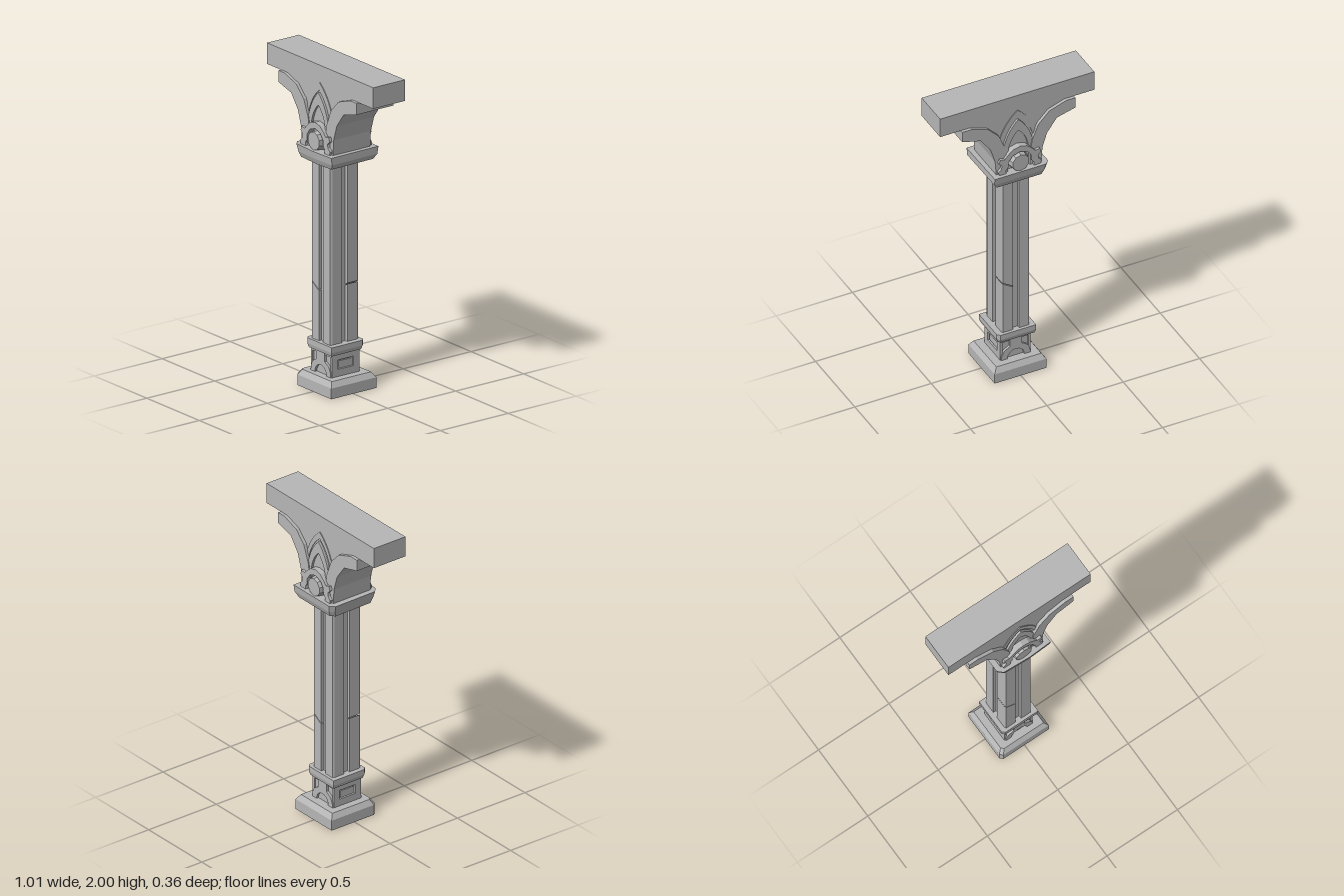
import * as THREE from 'three';

const stone = new THREE.MeshStandardMaterial({ color: 0xb6b6b6, flatShading: true });
stone.name = 'stone';

// Solid through stacked rings of [x, y, z], listed front-left, front-right, back-right, back-left
function loft(rings) {
  const out = [];
  const n = rings[0].length;
  for (let r = 0; r < rings.length - 1; r++) {
    const a = rings[r], b = rings[r + 1];
    for (let i = 0; i < n; i++) {
      const j = (i + 1) % n;
      out.push(...a[i], ...a[j], ...b[j], ...a[i], ...b[j], ...b[i]);
    }
  }
  const lo = rings[0], hi = rings[rings.length - 1];
  for (let i = 1; i < n - 1; i++) {
    out.push(...lo[0], ...lo[i + 1], ...lo[i], ...hi[0], ...hi[i], ...hi[i + 1]);
  }
  const g = new THREE.BufferGeometry();
  g.setAttribute('position', new THREE.Float32BufferAttribute(out, 3));
  g.computeVertexNormals();
  return g;
}

const ring = (y, pts) => pts.map(([x, z]) => [x, y, z]);
const shapeOf = (pts) => new THREE.Shape(pts.map(([x, y]) => new THREE.Vector2(x, y)));
// Close a right-hand outline (listed from the bottom up) with its mirror image
const mirrored = (pts) => shapeOf([...pts, ...pts.map(([x, y]) => [-x, y]).reverse()]);

function slab(shape, z0, z1) {
  const g = new THREE.ExtrudeGeometry(shape, { depth: z1 - z0, bevelEnabled: false, curveSegments: 8 });
  return g.translate(0, 0, z0);
}

export function createModel() {
  const model = new THREE.Group();
  model.name = 'column';

  function add(name, geometry, parent = model) {
    const mesh = new THREE.Mesh(geometry, stone);
    mesh.name = name;
    parent.add(mesh);
    return mesh;
  }
  // Same raised ornament on the front and back faces
  function relief(name, shape, z0, z1, parent) {
    add(name + 'Front', slab(shape, z0, z1), parent);
    add(name + 'Back', slab(shape, -z1, -z0), parent);
  }

  // Base with sloped top and a chipped front-left corner
  const plinth = [[-0.167, 0.145], [-0.15, 0.162], [0.172, 0.162], [0.172, -0.17], [-0.167, -0.17]];
  const plinthTop = plinth.map(([x, z]) => [x * 0.87, z * 0.87]);
  add('base', loft([ring(0, plinth), ring(0.065, plinth), ring(0.098, plinthTop)]));

  // Pedestal block with raised ornament
  const pedestal = new THREE.Group();
  pedestal.name = 'pedestal';
  model.add(pedestal);
  add('pedestalCore', new THREE.BoxGeometry(0.176, 0.16, 0.184).translate(0, 0.17, 0), pedestal);
  const stemArch = new THREE.Shape();
  stemArch.moveTo(0.055, 0.095).lineTo(0.095, 0.095).lineTo(0.093, 0.125).lineTo(0.078, 0.158)
    .lineTo(0.038, 0.183).lineTo(0.038, 0.24).lineTo(-0.038, 0.24).lineTo(-0.038, 0.183)
    .lineTo(-0.078, 0.158).lineTo(-0.093, 0.125).lineTo(-0.095, 0.095).lineTo(-0.055, 0.095);
  stemArch.absarc(0, 0.098, 0.055, Math.PI, 0, true);
  relief('stemArch', stemArch, 0.09, 0.107, pedestal);
  relief('pedestalLintel', shapeOf([[-0.098, 0.222], [0.098, 0.222], [0.098, 0.24], [-0.098, 0.24]]), 0.09, 0.103, pedestal);
  const frame = shapeOf([[-0.1, 0.095], [0.1, 0.095], [0.1, 0.235], [-0.1, 0.235]]);
  frame.holes.push(new THREE.Path([[-0.058, 0.142], [-0.058, 0.2], [0.058, 0.2], [0.058, 0.142]]
    .map((p) => new THREE.Vector2(...p))));
  for (const s of [-1, 1]) {
    add(s > 0 ? 'leftFrame' : 'rightFrame', slab(frame, 0.085, 0.1).rotateY(s * Math.PI / 2), pedestal);
    add(s > 0 ? 'leftPanel' : 'rightPanel',
      new THREE.BoxGeometry(0.008, 0.04, 0.095).translate(s * 0.09, 0.171, 0), pedestal);
  }

  // Collar under the shaft, corners clipped
  const collar = [[-0.125, 0.105], [-0.108, 0.122], [0.125, 0.122], [0.125, -0.105], [0.108, -0.122], [-0.125, -0.122]];
  const collarLow = collar.map(([x, z]) => [x * 0.93, z * 0.95]);
  add('collar', loft([ring(0.238, collarLow), ring(0.262, collar), ring(0.295, collar)]));

  // Shaft: four corner posts round a core leave a groove on each face
  const shaft = new THREE.Group();
  shaft.name = 'shaft';
  shaft.position.x = -0.003;
  model.add(shaft);
  add('shaftCore', new THREE.BoxGeometry(0.145, 1.14, 0.165).translate(0, 0.85, 0), shaft);
  const post = [[-0.092, 0.09], [-0.086, 0.103], [-0.02, 0.103], [-0.02, 0.02], [-0.092, 0.02]];
  const other = post.map(([x, z]) => [-x, z]).reverse();
  // A slanted crack cuts two opposite posts
  const crack = (off) => post.map(([x, z]) => [x, 0.652 + off - Math.max(0, x + 0.092) * 0.62, z]);
  for (const turn of [0, Math.PI]) {
    add('crackedPostLower', loft([ring(0.285, post), crack(-0.003)]), shaft).rotation.y = turn;
    add('crackedPostUpper', loft([crack(0.003), ring(1.42, post)]), shaft).rotation.y = turn;
    add('plainPost', loft([ring(0.285, other), ring(1.42, other)]), shaft).rotation.y = turn;
  }

  // Flared capital with uneven, chipped corners
  const top = [[-0.182, 0.14], [-0.152, 0.168], [0.03, 0.177], [0.181, 0.169],
    [0.176, -0.182], [-0.16, -0.182], [-0.186, -0.155]];
  const mid = top.map(([x, z]) => [x > 0.1 ? x : x * 0.93, z * 0.96]);
  const low = top.map(([x, z]) => [x * 0.87, z * 0.88]);
  add('capital', loft([ring(1.408, low), ring(1.443, mid), ring(1.488, top)]));

  // Bracket and beam, sharing one centre plane
  const head = new THREE.Group();
  head.name = 'head';
  head.position.z = -0.006;
  model.add(head);
  add('beam', new THREE.BoxGeometry(1.01, 0.13, 0.234).translate(0, 1.935, 0), head);

  const outer = [[0.148, 1.485], [0.155, 1.585], [0.185, 1.68], [0.25, 1.768], [0.37, 1.8], [0.37, 1.871]];
  const inner = [[0.31, 1.871], [0.2, 1.833], [0.13, 1.762], [0.088, 1.66], [0.075, 1.58], [0.072, 1.485]];
  add('bracketWall', slab(mirrored(outer), -0.117, 0.117), head);
  const curve = [...outer, ...inner];
  add('leftBracketTrim', slab(shapeOf(curve), -0.137, 0.137), head);
  add('rightBracketTrim', slab(shapeOf(curve.map(([x, y]) => [-x, y]).reverse()), -0.137, 0.137), head);

  // Nested pointed arches
  function pointedArch(w, apex, wIn, apexIn, foot) {
    const s = new THREE.Shape();
    s.moveTo(w, foot).quadraticCurveTo(w * 0.85, (foot + apex) / 2 + 0.035, 0, apex);
    s.quadraticCurveTo(-w * 0.85, (foot + apex) / 2 + 0.035, -w, foot);
    s.lineTo(-wIn, foot).quadraticCurveTo(-wIn * 0.85, (foot + apexIn) / 2 + 0.03, 0, apexIn);
    s.quadraticCurveTo(wIn * 0.85, (foot + apexIn) / 2 + 0.03, wIn, foot);
    return s;
  }
  relief('outerArch', pointedArch(0.135, 1.895, 0.11, 1.85, 1.64), 0.112, 0.122, head);
  relief('innerArch', pointedArch(0.105, 1.835, 0.07, 1.757, 1.6), 0.112, 0.131, head);

  // Scrolled crest around a round boss
  const crest = [[0.09, 1.485], [0.136, 1.488], [0.142, 1.51], [0.122, 1.53], [0.118, 1.552], [0.138, 1.572],
    [0.13, 1.598], [0.1, 1.592], [0.08, 1.615], [0.045, 1.645], [0, 1.656]];
  const hollow = [[0, 1.618], [0.05, 1.6], [0.075, 1.565], [0.076, 1.53], [0.092, 1.51]];
  const flip = (pts) => pts.map(([x, y]) => [-x, y]).reverse();
  relief('crest', shapeOf([...crest, ...flip(crest).slice(1), ...flip(hollow), ...hollow.slice(1)]), 0.112, 0.154, head);
  for (const s of [-1, 1]) {
    const boss = new THREE.CylinderGeometry(0.056, 0.064, 0.053, 10).rotateX(s * Math.PI / 2);
    add(s > 0 ? 'bossFront' : 'bossBack', boss.translate(0, 1.543, s * 0.1385), head);
  }
  return model;
}
